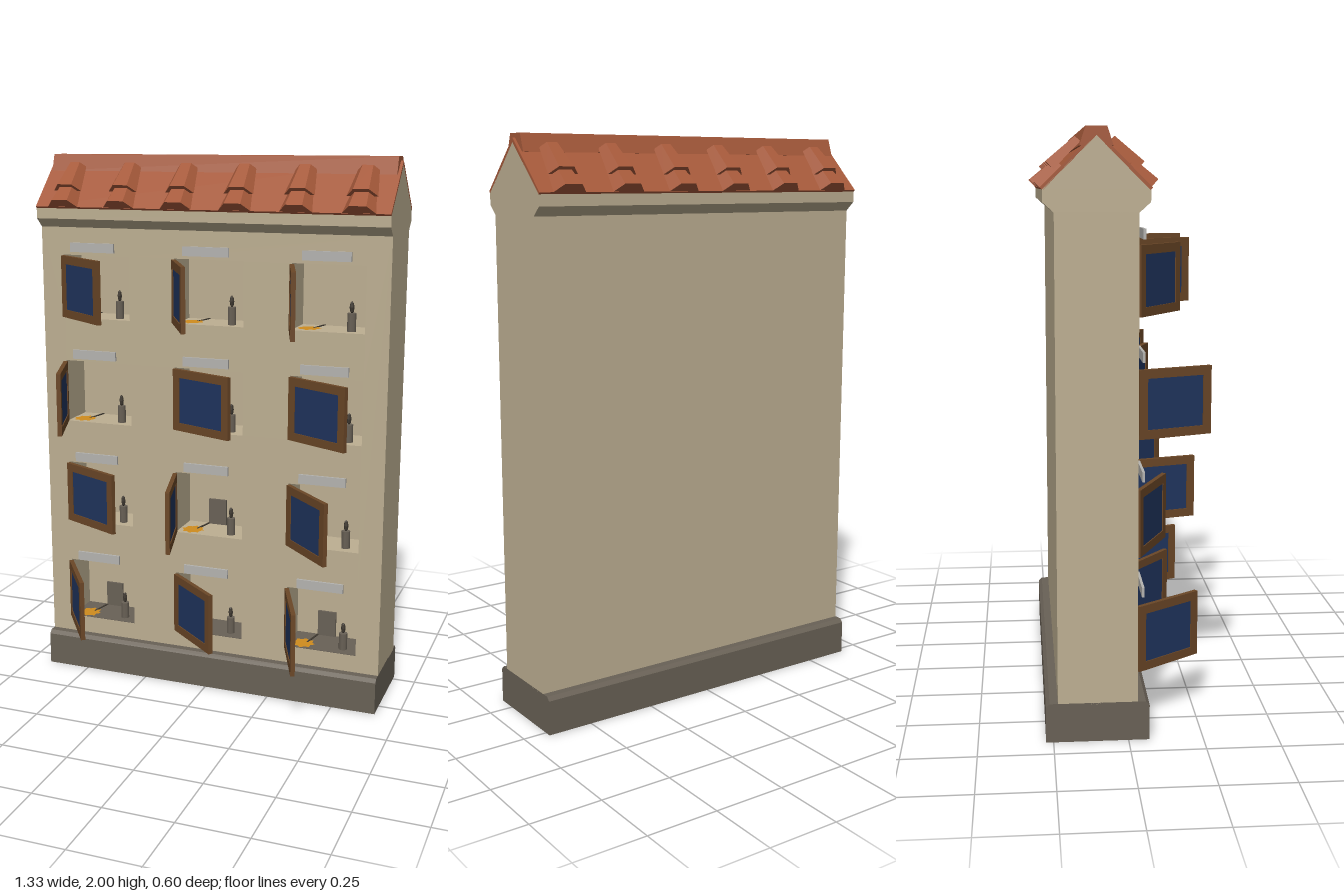
import * as THREE from 'three';

const material = (name, color, extra = {}) =>
  new THREE.MeshStandardMaterial({ name, color, ...extra });

export function createModel() {
  const plaster = material('plaster', 0xbdaf92);
  const stone = material('stone', 0x696156);
  const terracotta = material('terracotta', 0xa5593a, { flatShading: true });
  const wood = material('wood', 0x6b4727);
  const glass = material('blueGlass', 0x20355f);
  const paleGrey = material('paleGrey', 0xb4b3b0);
  const orange = material('orange', 0xd08c1e, { side: THREE.DoubleSide });
  const dark = material('darkBrown', 0x403a32, { flatShading: true });

  const model = new THREE.Group();
  model.name = 'townhouse';

  const add = (parent, name, geometry, mat, x = 0, y = 0, z = 0) => {
    const mesh = new THREE.Mesh(geometry, mat);
    mesh.name = name;
    mesh.position.set(x, y, z);
    parent.add(mesh);
    return mesh;
  };

  // Extrude a (z, y) profile along x, centred on x = 0
  const alongX = (points, width) => {
    const shape = new THREE.Shape(points.map(p => new THREE.Vector2(p[0], p[1])));
    return new THREE.ExtrudeGeometry(shape, { depth: width, bevelEnabled: false })
      .translate(0, 0, -width / 2).rotateY(-Math.PI / 2);
  };
  // Mirror a half profile of (distance from mid plane, y) about the mid plane
  const MID = -0.1025;
  const symmetric = half => [
    ...half.map(([d, y]) => [MID + d, y]),
    ...half.slice().reverse().filter(p => p[0] > 0).map(([d, y]) => [MID - d, y]),
  ];
  const rect = (target, x, y, w, h) => {
    target.moveTo(x, y);
    target.lineTo(x + w, y);
    target.lineTo(x + w, y + h);
    target.lineTo(x, y + h);
    target.closePath();
    return target;
  };

  const WIDTH = 1.33;
  const columns = [-0.445, 0, 0.445];
  const rows = [0.2, 0.6, 1.0, 1.4];
  const OPEN_W = 0.267, OPEN_H = 0.236;

  // Plinth with a chamfered top
  add(model, 'plinth', alongX(symmetric([[0.1725, 0], [0.1725, 0.122], [0.16, 0.135]]), WIDTH), stone);

  // Front wall pierced by the window openings, and the solid wall behind it
  const wall = rect(new THREE.Shape(), -WIDTH / 2, 0.13, WIDTH, 1.61);
  for (const x of columns) for (const y of rows)
    wall.holes.push(rect(new THREE.Path(), x - OPEN_W / 2, y, OPEN_W, OPEN_H));
  add(model, 'frontWall', new THREE.ExtrudeGeometry(wall, { depth: 0.15, bevelEnabled: false }),
    plaster, 0, 0, -0.12);
  add(model, 'backWall', new THREE.BoxGeometry(WIDTH, 1.61, 0.115), plaster, 0, 0.935, -0.1775);

  // Flared cornice and gable
  add(model, 'corniceAndGable', alongX(symmetric(
    [[0.1325, 1.738], [0.168, 1.77], [0.168, 1.808], [0, 1.972]]), WIDTH), plaster);

  // Roof slab: a bent strip over both slopes
  add(model, 'roofSlab', alongX([
    [MID + 0.166, 1.806], [MID + 0.174, 1.814], [MID, 1.985], [MID - 0.174, 1.814],
    [MID - 0.166, 1.806], [MID, 1.971],
  ], WIDTH), terracotta);
  add(model, 'ridgeCap', alongX(symmetric([[0.053, 1.94], [0.033, 2.0]]), 1.31), terracotta);

  // Tapered half-hexagon roof tiles, two overlapping per course on each slope
  const tileGeometry = (rTop, rBottom, length) =>
    new THREE.CylinderGeometry(rTop, rBottom, length, 3, 1, false, -Math.PI / 2, Math.PI)
      .scale(1, 1, 0.72);
  const tiles = [
    { name: 'lowerTile', from: 0.105, to: 0.172, rTop: 0.045, rBottom: 0.061, lift: 0 },
    { name: 'upperTile', from: 0.038, to: 0.123, rTop: 0.038, rBottom: 0.055, lift: 0.008 },
  ];
  for (const side of [0, 1]) {
    const slope = new THREE.Group();
    slope.name = side ? 'backTiles' : 'frontTiles';
    slope.position.z = MID;
    slope.rotation.y = side * Math.PI;
    model.add(slope);
    for (const t of tiles) {
      const geometry = tileGeometry(t.rTop, t.rBottom, (t.to - t.from) * Math.SQRT2);
      const d = (t.from + t.to) / 2;
      for (let i = 0; i < 6; i++) {
        const tile = add(slope, t.name, geometry, terracotta,
          (i - 2.5) * 0.222, 1.985 - d + t.lift, d + t.lift);
        tile.rotation.x = -Math.PI / 4;
      }
    }
  }

  // Shared window pieces
  const SASH_W = 0.266, SASH_H = 0.23, BORDER = 0.03, THICK = 0.016;
  const frame = rect(new THREE.Shape(), 0, 0, SASH_W, SASH_H);
  frame.holes.push(rect(new THREE.Path(), BORDER, BORDER, SASH_W - 2 * BORDER, SASH_H - 2 * BORDER));
  const frameGeometry = new THREE.ExtrudeGeometry(frame, { depth: THICK, bevelEnabled: false })
    .translate(0, 0, -THICK / 2);
  const paneGeometry = new THREE.BoxGeometry(SASH_W - 2 * BORDER, SASH_H - 2 * BORDER, 0.009);
  const lintelGeometry = new THREE.BoxGeometry(0.175, 0.034, 0.009);
  const potGeometry = new THREE.CylinderGeometry(0.016, 0.016, 0.065, 8);
  const budGeometry = new THREE.SphereGeometry(0.009, 6, 4).scale(1, 2.4, 1);
  const petals = [];
  for (let i = 0; i < 16; i++) {
    const r = i % 2 ? 0.034 : 0.045, a = i * Math.PI / 8;
    petals.push(new THREE.Vector2(r * Math.cos(a), r * Math.sin(a)));
  }
  const flowerGeometry = new THREE.ShapeGeometry(new THREE.Shape(petals)).rotateX(-Math.PI / 2);
  const stemGeometry = new THREE.BoxGeometry(0.007, 0.003, 0.09);

  // Opening angle of each sash in degrees, from the bottom row up
  const angles = [[55, 39.5, 68], [25, 74, 44], [69, 21, 27], [35, 61, 72]];
  const hasPanel = (r, c) => (r === 0 && c !== 1) || (r === 1 && c === 1);

  rows.forEach((y, r) => columns.forEach((x, c) => {
    const win = new THREE.Group();
    win.name = 'window';
    win.position.set(x, y, 0);
    model.add(win);

    add(win, 'lintel', lintelGeometry, paleGrey, 0, 0.467 - 0.2, 0.06);

    // Sash swung outward on its hinge
    const sash = new THREE.Group();
    sash.name = 'sash';
    sash.position.set(-0.132, 0.004, 0.038);
    sash.rotation.y = -THREE.MathUtils.degToRad(angles[r][c]);
    win.add(sash);
    add(sash, 'sashFrame', frameGeometry, wood);
    add(sash, 'pane', paneGeometry, glass, SASH_W / 2, SASH_H / 2, 0);

    // Pot with a bud, and a flower lying on the sill
    add(win, 'pot', potGeometry, stone, 0.074, 0.0325, -0.015);
    add(win, 'bud', budGeometry, dark, 0.074, 0.085, -0.015);
    add(win, 'flower', flowerGeometry, orange, -0.079, 0.004, -0.012);
    add(win, 'stem', stemGeometry, dark, -0.058, 0.003, -0.07).rotation.y = -0.2;

    // Stone floor in the bottom row and a low panel at the back of some rooms
    if (r === 0) add(win, 'floor', new THREE.BoxGeometry(OPEN_W, 0.002, 0.148), stone, 0, 0.001, -0.045);
    if (hasPanel(r, c)) add(win, 'backPanel', new THREE.BoxGeometry(0.07, 0.1, 0.009), stone, -0.015, 0.05, -0.115);
  }));

  return model;
}
